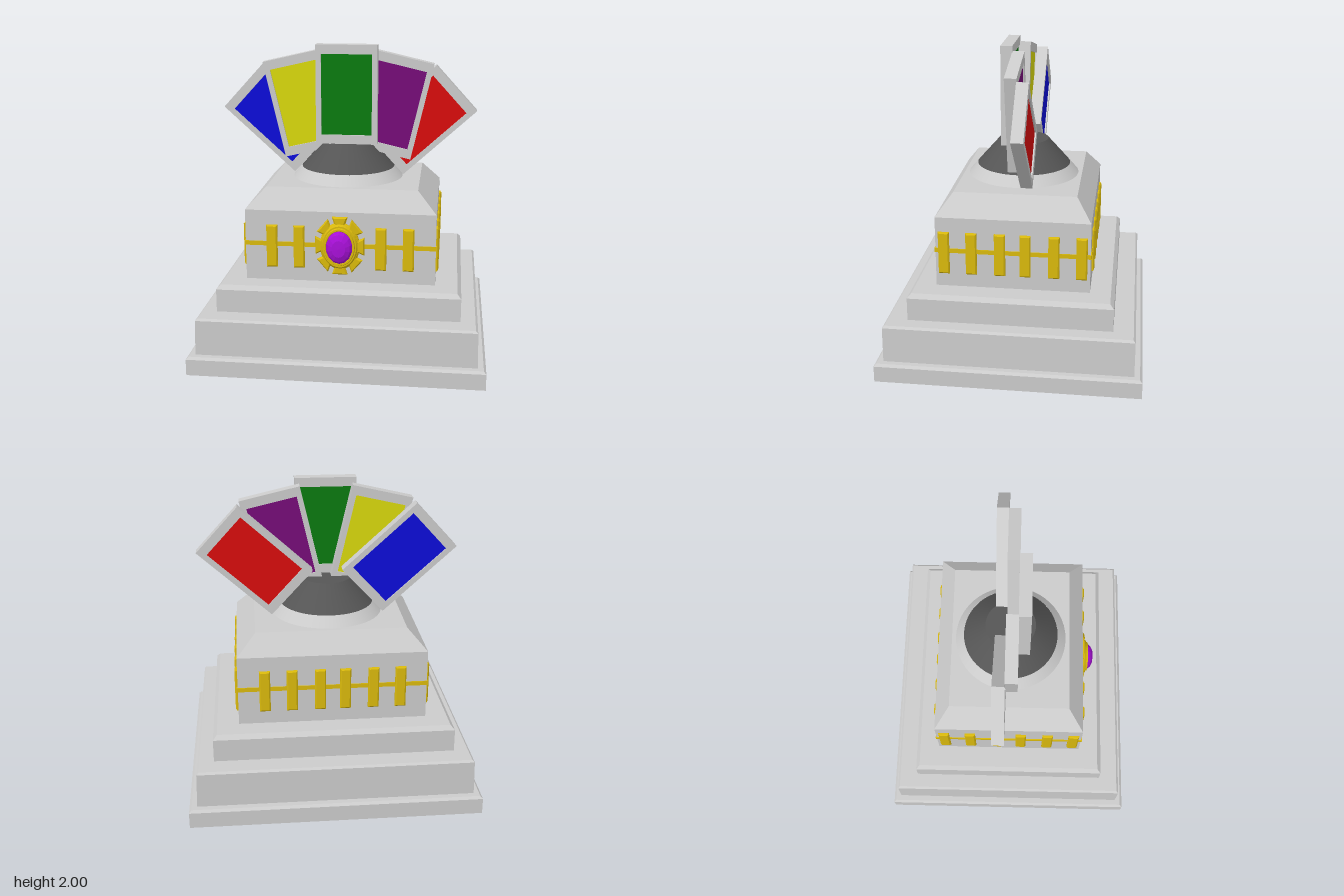
import * as THREE from 'three';

const mat = (color, extra = {}) => new THREE.MeshStandardMaterial({ color, ...extra });
const grey = mat(0xcccccc, { flatShading: true });
const smoothGrey = mat(0xcccccc);
const darkGrey = mat(0x555555);
const gold = mat(0xd9b90c, { flatShading: true });
const purpleGem = mat(0xa810d8, { flatShading: true });

function add(parent, name, geometry, material, x = 0, y = 0, z = 0) {
  const mesh = new THREE.Mesh(geometry, material);
  mesh.name = name;
  mesh.position.set(x, y, z);
  parent.add(mesh);
  return mesh;
}

// Solid through rectangular sections [halfX, y, halfZ], listed bottom to top
function rectStack(sections) {
  const loops = sections.map(([x, y, z]) => [[x, y, z], [x, y, -z], [-x, y, -z], [-x, y, z]]);
  const pos = [];
  const quad = (a, b, c, d) => pos.push(...a, ...b, ...c, ...a, ...c, ...d);
  for (let i = 0; i < loops.length - 1; i++) {
    for (let k = 0; k < 4; k++) {
      const n = (k + 1) % 4;
      quad(loops[i][k], loops[i][n], loops[i + 1][n], loops[i + 1][k]);
    }
  }
  quad(...loops[loops.length - 1]);
  quad(...[...loops[0]].reverse());
  const geo = new THREE.BufferGeometry();
  geo.setAttribute('position', new THREE.Float32BufferAttribute(pos, 3));
  geo.computeVertexNormals();
  return geo;
}

function rectShape(w, h, Target = THREE.Shape) {
  const s = new Target();
  s.moveTo(-w / 2, -h / 2);
  s.lineTo(w / 2, -h / 2);
  s.lineTo(w / 2, h / 2);
  s.lineTo(-w / 2, h / 2);
  s.closePath();
  return s;
}

// Framed panel: rim with an opening, coloured sheet slightly recessed on both faces
function makePanel(name, color, x, y, z, angle) {
  const panel = new THREE.Group();
  panel.name = name;
  const shape = rectShape(0.4, 0.645);
  shape.holes.push(rectShape(0.33, 0.525, THREE.Path));
  const rim = new THREE.ExtrudeGeometry(shape, { depth: 0.076, bevelEnabled: false });
  add(panel, 'panelFrame', rim, grey, 0, 0, -0.038);
  add(panel, 'panelSheet', new THREE.BoxGeometry(0.33, 0.525, 0.056), mat(color));
  panel.position.set(x, y, z);
  panel.rotation.z = angle;
  return panel;
}

// Eight-toothed outline whose teeth widen outward, stretched into an oval
function cogShape(root, tip) {
  const s = new THREE.Shape();
  const steps = [[root, -0.2], [tip, -0.25], [tip, 0.25], [root, 0.2]];
  for (let i = 0; i < 8; i++) {
    steps.forEach(([r, da], j) => {
      const a = i * Math.PI / 4 + da;
      const x = r * Math.cos(a) * 0.82, y = r * Math.sin(a);
      if (i + j === 0) s.moveTo(x, y);
      else s.lineTo(x, y);
    });
  }
  s.closePath();
  return s;
}

function makeMedallion() {
  const g = new THREE.Group();
  g.name = 'medallion';
  const bevel = { bevelEnabled: true, bevelThickness: 0.01, bevelSize: 0.01, bevelSegments: 1 };
  add(g, 'toothedPlate', new THREE.ExtrudeGeometry(cogShape(0.145, 0.187), { depth: 0.012, ...bevel }), gold, 0, 0, -0.005);
  // Stepped oval collar around the gem
  const collar = [[0.145, 0], [0.145, 0.02], [0.135, 0.03], [0.125, 0.03], [0.12, 0.042], [0.108, 0.042], [0.1, 0.03]];
  const lathe = (points, n) => new THREE.LatheGeometry(points.map(p => new THREE.Vector2(...p)), n).rotateX(Math.PI / 2).scale(0.79, 1, 1);
  add(g, 'collar', lathe(collar, 32), gold);
  // Faceted gem
  const gem = [[0.106, 0.025], [0.106, 0.045], [0.09, 0.062], [0.055, 0.077], [0, 0.08]];
  add(g, 'gem', lathe(gem, 14), purpleGem);
  g.position.set(0, 0.777, 0.49);
  return g;
}

export function createModel() {
  const model = new THREE.Group();
  model.name = 'trophy';

  // Stepped plinth
  add(model, 'bottomStep', rectStack([[0.932, 0, 0.834], [0.932, 0.105, 0.834], [0.917, 0.12, 0.819]]), grey);
  add(model, 'middleStep', rectStack([[0.882, 0.12, 0.783], [0.876, 0.347, 0.783], [0.862, 0.36, 0.77]]), grey);
  add(model, 'topStep', rectStack([[0.77, 0.355, 0.645], [0.77, 0.508, 0.645], [0.745, 0.535, 0.62]]), grey);
  add(model, 'body', rectStack([[0.605, 0.53, 0.488], [0.605, 0.995, 0.488], [0.483, 1.125, 0.39]]), grey);

  // Round neck below the fan
  add(model, 'neckBase', new THREE.CylinderGeometry(0.308, 0.365, 0.067, 48, 1, true), smoothGrey, 0, 1.1575);
  add(model, 'neck', new THREE.CylinderGeometry(0.162, 0.308, 0.166, 48), darkGrey, 0, 1.273);

  // Gold band and raised bars
  add(model, 'band', new THREE.BoxGeometry(1.222, 0.028, 0.988), gold, 0, 0.777);
  const barShape = rectShape(0.052, 0.26);
  const barGeo = new THREE.ExtrudeGeometry(barShape, {
    depth: 0.012, bevelEnabled: true, bevelThickness: 0.008, bevelSize: 0.009, bevelSegments: 1,
  });
  const six = [-0.434, -0.26, -0.08, 0.08, 0.26, 0.434];
  const bar = (name, x, z, turn) => {
    add(model, name, barGeo, gold, x, 0.762, z).rotation.y = turn;
  };
  for (const t of six) {
    if (Math.abs(t) > 0.2) bar('frontBar', t, 0.485, 0);
    bar('backBar', t, -0.485, Math.PI);
    bar('leftBar', 0.602, t, Math.PI / 2);
    bar('rightBar', -0.602, t, -Math.PI / 2);
  }
  model.add(makeMedallion());

  // Fan of five framed panels, outer pairs stepping backward
  model.add(
    makePanel('centrePanel', 0x0b7a10, 0, 1.6775, 0.088, 0),
    makePanel('rightInnerPanel', 0xd8d80c, -0.293, 1.605, 0.015, 0.227),
    makePanel('leftInnerPanel', 0x760c78, 0.293, 1.605, 0.015, -0.227),
    makePanel('rightOuterPanel', 0x0c0cd8, -0.47, 1.4925, -0.06, 0.829),
    makePanel('leftOuterPanel', 0xd80c0c, 0.47, 1.4925, -0.06, -0.829),
  );
  return model;
}
